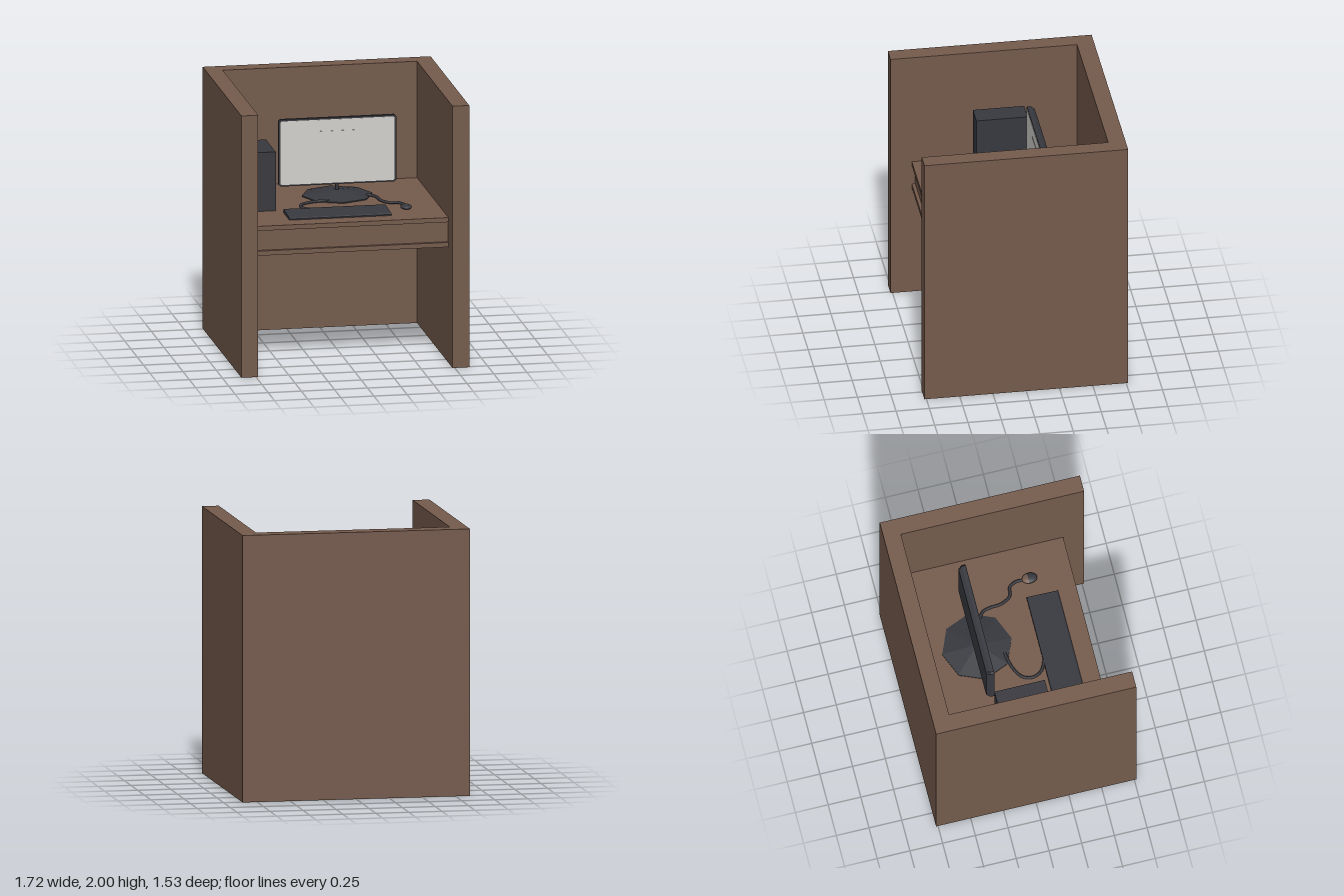
import * as THREE from 'three';

export function createModel() {
  const group = new THREE.Group();
  const material = (name, color) => {
    const m = new THREE.MeshStandardMaterial({ color });
    m.name = name;
    return m;
  };
  const wood = material('brown wood', 0x755b4d);
  const dark = material('dark grey plastic', 0x38393f);
  const white = material('pale screen', 0xd3d2ce);

  const add = (name, geometry, mat) => {
    const mesh = new THREE.Mesh(geometry, mat);
    mesh.name = name;
    group.add(mesh);
    return mesh;
  };
  // Box given by its lower and upper corners
  const box = (name, mat, [x0, y0, z0], [x1, y1, z1]) => {
    const g = new THREE.BoxGeometry(x1 - x0, y1 - y0, z1 - z0);
    g.translate((x0 + x1) / 2, (y0 + y1) / 2, (z0 + z1) / 2);
    return add(name, g, mat);
  };

  // Privacy walls: one U-shaped plan, drawn in (x, -z) and raised
  const plan = new THREE.Shape([
    [-0.86, -0.765], [-0.733, -0.765], [-0.733, 0.635], [0.733, 0.635],
    [0.733, -0.765], [0.86, -0.765], [0.86, 0.765], [-0.86, 0.765],
  ].map(([x, y]) => new THREE.Vector2(x, y)));
  const walls = new THREE.ExtrudeGeometry(plan, { depth: 2, bevelEnabled: false });
  walls.rotateX(-Math.PI / 2);
  add('privacyWalls', walls, wood);

  // Desk with a recessed apron and a lower shelf
  box('desktop', wood, [-0.733, 1.075, -0.635], [0.733, 1.11, 0.605]);
  box('apron', wood, [-0.733, 0.92, -0.635], [0.733, 1.075, 0.58]);
  box('lowerShelf', wood, [-0.733, 0.885, -0.635], [0.733, 0.92, 0.605]);

  // Computer tower
  box('computerTower', dark, [-0.65, 1.11, -0.225], [-0.485, 1.56, 0.16]);

  // Rectangle with chamfered corners
  const panel = (w, h, c) => new THREE.Shape([
    [-w + c, -h], [w - c, -h], [w, -h + c], [w, h - c],
    [w - c, h], [-w + c, h], [-w, h - c], [-w, -h + c],
  ].map(([x, y]) => new THREE.Vector2(x, y)));

  // Monitor case, narrowed towards the back
  const caseGeometry = new THREE.ExtrudeGeometry(panel(0.445, 0.255, 0.014), {
    depth: 0.057, steps: 2, bevelEnabled: false,
  });
  const p = caseGeometry.attributes.position;
  for (let i = 0; i < p.count; i++) {
    if (p.getZ(i) < 0.001) {
      p.setX(i, p.getX(i) - Math.sign(p.getX(i)) * 0.018);
      p.setY(i, p.getY(i) - Math.sign(p.getY(i)) * 0.018);
    }
  }
  caseGeometry.computeVertexNormals();
  caseGeometry.translate(0.05, 1.455, -0.26);
  add('monitorCase', caseGeometry, dark);

  const screen = new THREE.ExtrudeGeometry(panel(0.43, 0.243, 0.008), {
    depth: 0.004, bevelEnabled: false,
  });
  screen.translate(0.05, 1.455, -0.204);
  add('screen', screen, white);
  box('screenBar', white, [-0.105, 1.6, -0.201], [0.205, 1.61, -0.197]);

  // Octagonal monitor foot and thin neck
  const foot = new THREE.CylinderGeometry(0.03, 0.265, 0.036, 8).toNonIndexed();
  foot.computeVertexNormals();
  foot.translate(0.05, 1.136, -0.225);
  add('monitorFoot', foot, dark);
  const rim = new THREE.CylinderGeometry(0.265, 0.265, 0.008, 8).toNonIndexed();
  rim.computeVertexNormals();
  rim.translate(0.05, 1.114, -0.225);
  add('monitorFootRim', rim, dark);
  const neck = new THREE.CylinderGeometry(0.013, 0.013, 0.08, 12);
  neck.translate(0.05, 1.18, -0.23);
  add('monitorNeck', neck, dark);

  // Wedge keyboard: side profile drawn in (-z, y), swept along x
  const side = new THREE.Shape([
    [-0.465, 1.11], [-0.225, 1.11], [-0.225, 1.137], [-0.455, 1.126], [-0.465, 1.119],
  ].map(([x, y]) => new THREE.Vector2(x, y)));
  const keyboard = new THREE.ExtrudeGeometry(side, { depth: 0.77, bevelEnabled: false });
  keyboard.rotateY(Math.PI / 2);
  keyboard.translate(-0.44, 0, 0);
  add('keyboard', keyboard, dark);

  // Mouse: an egg split into a body and a button end
  const split = 1.38;
  const egg = (name, start, length, mat) => {
    const g = new THREE.SphereGeometry(1, 20, 10, 0, Math.PI * 2, start, length);
    g.rotateX(-Math.PI / 2);
    g.scale(0.042, 0.019, 0.058);
    g.translate(0.475, 1.127, 0.283);
    add(name, g, mat);
  };
  egg('mouseButtons', 0, split, wood);
  egg('mouseBody', split, Math.PI - split, dark);

  // Cords lying on the desk, as (x, z) points
  const cord = (name, points) => {
    const curve = new THREE.CatmullRomCurve3(
      points.map(([x, z]) => new THREE.Vector3(x, 1.121, z)));
    add(name, new THREE.TubeGeometry(curve, 40, 0.011, 8), dark);
  };
  cord('keyboardCord', [[-0.05, -0.04], [-0.18, -0.01], [-0.265, 0.045],
    [-0.287, 0.12], [-0.255, 0.19], [-0.17, 0.235]]);
  cord('mouseCord', [[0.26, -0.15], [0.305, -0.115], [0.322, -0.05], [0.33, 0.03],
    [0.375, 0.108], [0.445, 0.125], [0.474, 0.18], [0.475, 0.235]]);

  return group;
}
